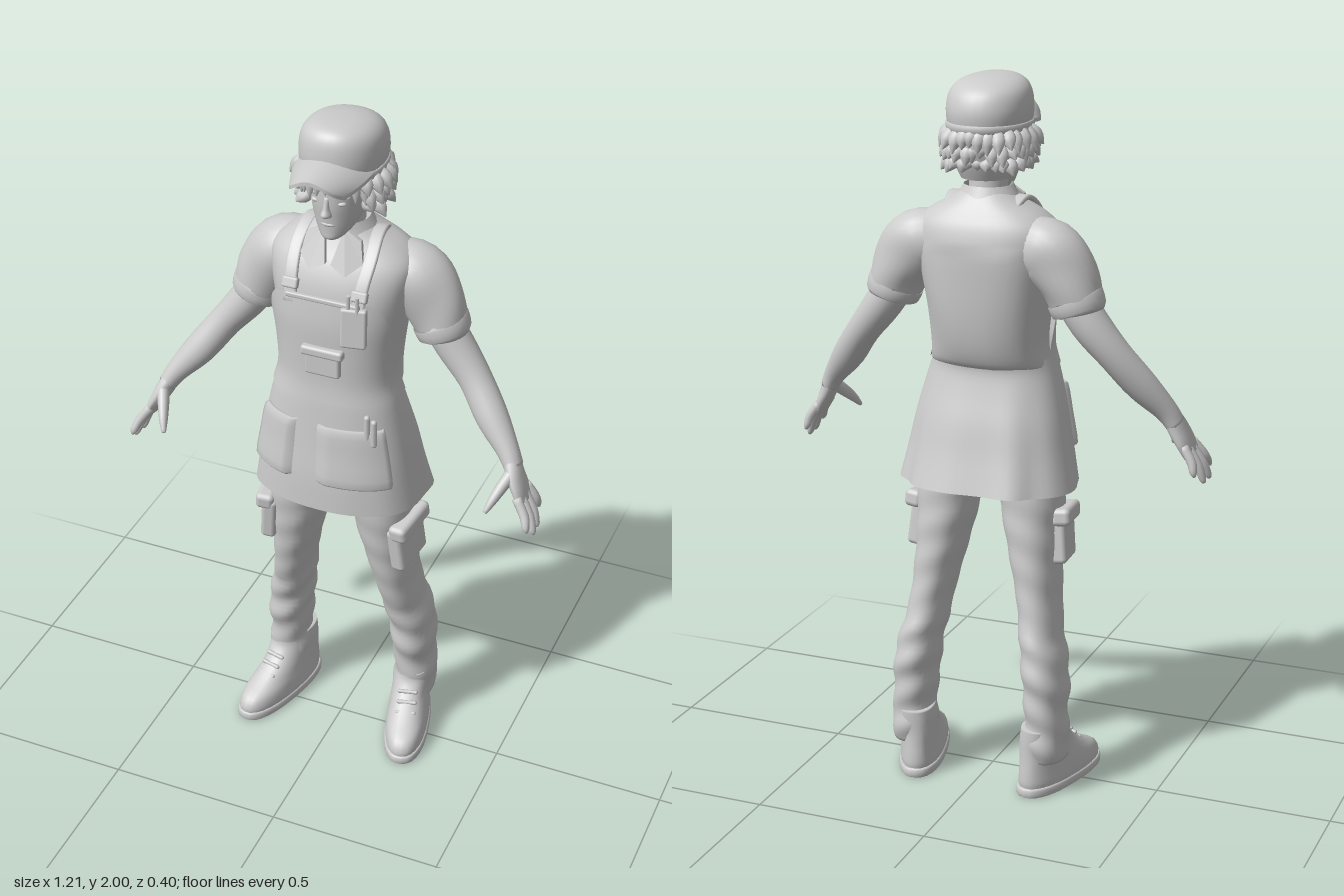
import * as THREE from 'three';
import { mergeVertices } from 'three/addons/utils/BufferGeometryUtils.js';
import { RoundedBoxGeometry } from 'three/addons/geometries/RoundedBoxGeometry.js';

const V = (x, y, z) => new THREE.Vector3(x, y, z);

// Smooth interpolation through rows of numbers
function sample(rows, t) {
  const i = Math.min(Math.floor(t), rows.length - 2), f = t - i;
  const at = k => rows[Math.max(0, Math.min(rows.length - 1, k))];
  return rows[i].map((_, k) => {
    const [a, b, c, d] = [at(i - 1)[k], at(i)[k], at(i + 1)[k], at(i + 2)[k]];
    return b + 0.5 * f * (c - a + f * (2 * a - 5 * b + 4 * c - d + f * (3 * (b - c) + d - a)));
  });
}

// Skin over rows [x, y, z, rx, rz]. Angle 0 faces +z, a quarter turn faces +x.
// along: rings square to the path; range: open strip between two angles per height.
function loft(rows, { seg = 24, sub = 4, e = 2, along = false, range = null, warp = null, cap = true } = {}) {
  const pos = [], idx = [], n = (rows.length - 1) * sub, w = range ? seg + 1 : seg;
  const rings = Array.from({ length: n + 1 }, (_, i) => sample(rows, i / sub));
  const pt = r => V(r[0], r[1], r[2]);
  const pow = v => Math.sign(v) * Math.abs(v) ** (2 / e);
  rings.forEach((r, i) => {
    let A = V(1, 0, 0), B = V(0, 0, 1);
    if (along) {
      const T = pt(rings[Math.min(n, i + 1)]).sub(pt(rings[Math.max(0, i - 1)])).normalize();
      A.addScaledVector(T, -T.x).normalize();
      B = A.clone().cross(T);
    }
    const [a0, a1] = range ? range(r[1]) : [0, Math.PI * 2];
    for (let j = 0; j < w; j++) {
      const a = a0 + (a1 - a0) * j / seg, k = 1 + (warp ? warp(a, r[1]) : 0);
      const p = pt(r).addScaledVector(A, r[3] * k * pow(Math.sin(a))).addScaledVector(B, r[4] * k * pow(Math.cos(a)));
      pos.push(p.x, p.y, p.z);
    }
  });
  for (let i = 0; i < n; i++) for (let j = 0; j < seg; j++) {
    const a = i * w + j, b = i * w + (j + 1) % w;
    idx.push(a, b, b + w, a, b + w, a + w);
  }
  if (cap && !range) [0, n].forEach(i => {
    const c = pos.length / 3;
    pos.push(...rings[i].slice(0, 3));
    for (let j = 0; j < seg; j++) {
      const a = i * w + j, b = i * w + (j + 1) % w;
      idx.push(c, ...(i ? [a, b] : [b, a]));
    }
  });
  const g = new THREE.BufferGeometry();
  g.setAttribute('position', new THREE.Float32BufferAttribute(pos, 3));
  g.setIndex(idx);
  g.computeVertexNormals();
  return g;
}

// Move every vertex by a rule
function bend(g, rule) {
  const p = g.attributes.position;
  for (let i = 0; i < p.count; i++) p.setXYZ(i, ...rule(p.getX(i), p.getY(i), p.getZ(i)));
  g.computeVertexNormals();
  return g;
}

function mirrored(geo) {
  const g = geo.index ? geo.clone() : mergeVertices(geo);
  const p = g.attributes.position, n = g.attributes.normal, ix = g.index.array;
  for (let i = 0; i < p.count; i++) { p.setX(i, -p.getX(i)); n.setX(i, -n.getX(i)); }
  for (let i = 0; i < ix.length; i += 3) [ix[i], ix[i + 1]] = [ix[i + 1], ix[i]];
  return g;
}

export function createModel() {
  const group = new THREE.Group();
  const grey = new THREE.MeshStandardMaterial({ color: 0xcccccc, side: THREE.DoubleSide });
  grey.name = 'light grey';
  const add = (name, geo) => {
    const m = new THREE.Mesh(geo, grey);
    m.name = name;
    group.add(m);
  };
  const both = (name, geo) => { add(name + 'Left', geo); add(name + 'Right', mirrored(geo)); };
  const box = (w, h, d, x, y, z, rx = 0, ry = 0, rz = 0) => new RoundedBoxGeometry(w, h, d, 2, Math.min(w, h, d) * 0.3)
    .rotateX(rx).rotateY(ry).rotateZ(rz).translate(x, y, z);
  let seed = 7;
  const rnd = () => (seed = (seed * 16807) % 2147483647) / 2147483647;

  // Shirt
  const blouse = (a, y) => y < 1.55 ? 0.018 * Math.sin(5 * a + 14 * y) * Math.max(0, -Math.cos(a) + 0.3) : 0;
  add('shirt', loft([[0, 0.98, 0, 0.17, 0.11], [0, 1.19, 0.005, 0.165, 0.1], [0, 1.225, -0.008, 0.163, 0.12], [0, 1.28, -0.018, 0.158, 0.132],
    [0, 1.36, -0.022, 0.166, 0.142], [0, 1.45, -0.024, 0.182, 0.146], [0, 1.54, -0.03, 0.198, 0.14], [0, 1.6, -0.036, 0.198, 0.122],
    [0, 1.64, -0.04, 0.16, 0.098], [0, 1.672, -0.04, 0.1, 0.078], [0, 1.695, -0.036, 0.066, 0.064]], { seg: 40, e: 2.5, warp: blouse }));
  both('sleeve', loft([[0.11, 1.555, -0.058, 0.07, 0.08], [0.185, 1.545, -0.062, 0.09, 0.088], [0.237, 1.48, -0.062, 0.085, 0.08],
    [0.27, 1.4, -0.06, 0.071, 0.072]], { along: true, sub: 5, warp: (a, y) => 0.025 * Math.sin(3 * a + 40 * y) }));
  both('sleeveCuff', loft([[0.258, 1.428, -0.06, 0.073, 0.073], [0.26, 1.424, -0.06, 0.078, 0.077], [0.272, 1.394, -0.06, 0.075, 0.075],
    [0.274, 1.388, -0.06, 0.066, 0.066]], { along: true, sub: 2 }));
  add('collarStand', loft([[0, 1.65, -0.036, 0.102, 0.092], [0, 1.68, -0.034, 0.084, 0.078], [0, 1.71, -0.03, 0.067, 0.068]],
    { range: () => [0.45, Math.PI * 2 - 0.45] }));
  const flap = new THREE.Shape([[0.028, 1.705], [0.008, 1.615], [0.05, 1.59], [0.088, 1.62], [0.075, 1.675]].map(p => new THREE.Vector2(...p)));
  both('collarFlap', bend(new THREE.ExtrudeGeometry(flap, { depth: 0.012, bevelEnabled: false }),
    (x, y, z) => [x, y, z + 0.04 + (1.7 - y) * 0.5 - 3 * x * x]));

  // Arms and hands
  both('arm', loft([[0.24, 1.45, -0.06, 0.054, 0.054], [0.3, 1.36, -0.06, 0.053, 0.055], [0.368, 1.275, -0.045, 0.046, 0.048],
    [0.432, 1.19, -0.01, 0.045, 0.044], [0.49, 1.12, 0.022, 0.032, 0.034], [0.515, 1.08, 0.036, 0.026, 0.034]], { along: true }));
  both('palm', loft([[0.505, 1.1, 0.03, 0.025, 0.03], [0.524, 1.06, 0.044, 0.023, 0.044], [0.542, 1.025, 0.052, 0.019, 0.05],
    [0.556, 0.995, 0.058, 0.014, 0.047]], { along: true, seg: 16 }));
  const fingers = [[0.095, 0.125, 0.94, 0.59], [0.07, 0.092, 0.915, 0.599], [0.043, 0.052, 0.913, 0.596], [0.018, 0.005, 0.943, 0.583]];
  fingers.forEach(([z0, z1, y1, x1], i) => both('finger' + (i + 1), loft([[0.546, 1.02, z0, 0.013, 0.013],
    [(0.55 + x1) / 2 + 0.005, (1.02 + y1) / 2, (z0 + z1) / 2, 0.013, 0.013], [x1 - 0.004, y1 + 0.012, z1, 0.01, 0.01],
    [x1, y1, z1, 0.004, 0.004]], { along: true, seg: 10, sub: 3 })));
  both('thumb', loft([[0.52, 1.075, 0.058, 0.018, 0.02], [0.503, 1.045, 0.095, 0.016, 0.018], [0.488, 1.015, 0.128, 0.012, 0.013],
    [0.477, 0.99, 0.15, 0.006, 0.006]], { along: true, seg: 10, sub: 3 }));

  // Apron skirt with folds, and its pockets
  const folds = (a, y) => Math.max(0, 1.2 - y) * (0.09 * Math.cos(7 * a) + 0.05 * Math.sin(11 * a)) * (1.2 - Math.cos(a)) * 0.5;
  const skirt = (d, y0 = 0, y1 = 9) => [[0, 0.872, -0.016, 0.248, 0.182], [0, 0.97, -0.003, 0.23, 0.166], [0, 1.06, 0.004, 0.214, 0.15],
    [0, 1.14, 0.013, 0.196, 0.134], [0, 1.2, 0.018, 0.18, 0.124], [0, 1.235, 0.014, 0.168, 0.124]]
    .filter(r => r[1] > y0 && r[1] < y1).map(r => [r[0], r[1], r[2], r[3] + d, r[4] + d]);
  add('apronSkirt', bend(loft(skirt(0), { seg: 64, e: 2.4, warp: folds, cap: false }),
    (x, y, z) => [x, y + Math.max(0, -z) * 0.1 * (1.2 - y), z]));
  const pocket = (name, a0, a1) => {
    const rows = skirt(0.014, 0.95, 1.15), base = skirt(-0.004, 0.95, 1.15);
    rows.unshift(base[0]);
    rows.push(base[base.length - 1]);
    add(name, loft(rows, { seg: 14, e: 2.4, sub: 3, range: () => [a0, a1],
      warp: a => -0.07 * (Math.abs((2 * a - a0 - a1) / (a1 - a0)) > 0.95 ? 1 : 0) }));
  };
  pocket('apronPocketLeft', -0.02, 0.98);
  pocket('apronPocketRight', -1.08, -0.3);
  [[0.13, 1.155], [0.15, 1.145]].forEach(([x, y], i) =>
    add('pocketTool' + (i + 1), new THREE.CapsuleGeometry(0.009, 0.07, 4, 8).translate(x, y, 0.133)));

  // Bib, straps and chest pockets
  const edge = y => 0.5 + 1.25 * Math.max(0, (1.53 - y) / 0.33) ** 0.6;
  add('apronBib', loft([[0, 1.21, 0.012, 0.182, 0.13], [0, 1.27, 0.002, 0.17, 0.134], [0, 1.36, -0.012, 0.178, 0.15],
    [0, 1.45, -0.02, 0.194, 0.16], [0, 1.53, -0.022, 0.21, 0.154]], { seg: 28, e: 2.5, range: y => [-edge(y), edge(y)] }));
  add('bibHem', box(0.21, 0.014, 0.014, 0, 1.525, 0.128));
  both('strap', loft([[0.095, 1.5, 0.122, 0.018, 0.007], [0.1, 1.57, 0.1, 0.018, 0.007], [0.105, 1.63, 0.056, 0.018, 0.007],
    [0.1, 1.672, 0, 0.018, 0.007], [0.095, 1.675, -0.05, 0.018, 0.007], [0.085, 1.64, -0.115, 0.016, 0.005]], { along: true, seg: 12, e: 4 }));
  both('strapBuckle', box(0.045, 0.03, 0.02, 0.098, 1.55, 0.112, -0.4));
  add('penPocket', box(0.07, 0.115, 0.024, 0.09, 1.465, 0.132, -0.06, 0.2));
  [0.075, 0.1].forEach((x, i) => add('pen' + (i + 1), new THREE.CylinderGeometry(0.006, 0.006, 0.09, 8).translate(x, 1.515, 0.134)));
  add('bibPouch', box(0.1, 0.075, 0.026, 0.005, 1.34, 0.137));
  add('bibPouchFlap', box(0.12, 0.028, 0.03, 0.005, 1.375, 0.14));

  // Trousers
  const wrinkles = (a, y) => (y < 0.46 ? 0.05 : 0.018) * Math.sin(62 * y + 2.2 * Math.sin(a + 0.6));
  both('trouserLeg', loft([[0.2, 0.1, -0.09, 0.055, 0.08], [0.202, 0.16, -0.095, 0.061, 0.083], [0.2, 0.22, -0.095, 0.056, 0.08],
    [0.197, 0.3, -0.088, 0.06, 0.09], [0.19, 0.38, -0.085, 0.06, 0.092], [0.172, 0.47, -0.065, 0.056, 0.094], [0.16, 0.55, -0.045, 0.057, 0.095],
    [0.145, 0.65, -0.03, 0.066, 0.1], [0.132, 0.75, -0.018, 0.078, 0.104], [0.12, 0.86, -0.008, 0.09, 0.105], [0.1, 1, 0, 0.1, 0.105]],
    { seg: 28, sub: 5, e: 2.2, warp: wrinkles }));
  both('cargoPocket', box(0.045, 0.14, 0.14, 0.204, 0.725, 0.012, 0.1, -0.15, 0.08));
  both('cargoPocketFlap', box(0.054, 0.05, 0.155, 0.212, 0.79, 0.015, 0.1, -0.15, 0.08));

  // Boots, turned outwards
  const foot = g => g.rotateY(0.25).translate(0.19, 0, -0.092);
  both('boot', foot(loft([[0, 0.01, 0.08, 0.058, 0.165], [0, 0.035, 0.08, 0.062, 0.172], [0, 0.065, 0.072, 0.06, 0.163], [0, 0.095, 0.045, 0.056, 0.133],
    [0, 0.13, 0.018, 0.053, 0.104], [0.005, 0.17, 0, 0.055, 0.086], [0.008, 0.2, -0.002, 0.053, 0.083]], { seg: 28, e: 2.3 })));
  both('bootSole', foot(loft([[0, 0, 0.08, 0.06, 0.172], [0, 0.004, 0.08, 0.065, 0.178], [0, 0.022, 0.08, 0.065, 0.178],
    [0, 0.027, 0.08, 0.06, 0.172]], { seg: 28, e: 2.4, sub: 2 })));
  for (let i = 0; i < 3; i++)
    both('bootLace' + (i + 1), foot(new THREE.CapsuleGeometry(0.006, 0.05, 3, 8).rotateZ(Math.PI / 2).translate(0, 0.105 + i * 0.022, 0.145 - i * 0.022)));

  // Head and face
  add('neck', loft([[0, 1.62, -0.04, 0.06, 0.062], [0, 1.69, -0.034, 0.052, 0.056], [0, 1.76, -0.025, 0.055, 0.06]]));
  add('head', loft([[0, 1.682, 0.06, 0.014, 0.018], [0, 1.69, 0.05, 0.03, 0.041], [0, 1.71, 0.026, 0.048, 0.067], [0, 1.745, 0, 0.066, 0.096],
    [0, 1.79, -0.014, 0.077, 0.115], [0, 1.85, -0.02, 0.083, 0.12], [0, 1.92, -0.02, 0.08, 0.11]], { e: 2.1 }));
  add('nose', loft([[0, 1.757, 0.092, 0.012, 0.008], [0, 1.766, 0.1, 0.015, 0.02], [0, 1.785, 0.099, 0.009, 0.013], [0, 1.815, 0.097, 0.007, 0.006]], { seg: 12 }));
  add('mouth', new THREE.SphereGeometry(1, 14, 8).scale(0.022, 0.007, 0.01).translate(0, 1.733, 0.087));
  both('brow', new THREE.CapsuleGeometry(0.006, 0.035, 3, 8).rotateZ(1.45).rotateY(0.35).translate(0.036, 1.818, 0.086));
  both('eye', new THREE.SphereGeometry(1, 12, 8).scale(0.015, 0.007, 0.01).translate(0.034, 1.797, 0.084));

  // Hair: a shell under the cap plus pointed locks
  add('hairShell', loft([[0, 1.73, -0.055, 0.065, 0.062], [0, 1.77, -0.04, 0.088, 0.095], [0, 1.82, -0.028, 0.1, 0.12], [0, 1.88, -0.02, 0.1, 0.12]],
    { range: () => [1.15, Math.PI * 2 - 1.15] }));
  const lock = (name, a, y0, y1, spread, size, r0 = 1) => {
    const p = (k, y, w) => [Math.sin(a) * 0.098 * k, y, Math.cos(a) * 0.116 * k - 0.022, w, w * 0.8];
    add(name, loft([p(r0 * 0.95, y0, size * 0.8), p(r0 * (1 + spread * 0.55), y0 * 0.55 + y1 * 0.45, size),
      p(r0 * (1 + spread), y1, 0.002)], { along: true, seg: 7, sub: 3 }));
  };
  for (let ring = 0; ring < 3; ring++) for (let i = 0; i < 19; i++) {
    const a = 0.95 + (i + 0.3 * ring + rnd() * 0.5) / 19 * (Math.PI * 2 - 1.9), side = Math.abs(Math.sin(a));
    lock('hairLock', a, 1.865 - ring * 0.04, 1.8 - ring * 0.03 + rnd() * 0.025, (0.1 + 0.3 * side) * (0.7 + 0.5 * rnd()), 0.02, 1 - ring * 0.05);
  }
  for (let i = 0; i < 9; i++) lock('fringeLock', -0.95 + i * 0.2375, 1.88, 1.815 + rnd() * 0.02 - 0.03 * Math.abs(i - 4) / 4, 0.12, 0.016);

  // Cap with an arched brim
  add('capCrown', loft([[0, 1.858, -0.02, 0.1, 0.122], [0, 1.865, -0.02, 0.107, 0.128], [0, 1.91, -0.02, 0.113, 0.132], [0, 1.955, -0.014, 0.106, 0.122],
    [0, 1.982, -0.002, 0.085, 0.098], [0, 1.996, 0.014, 0.05, 0.06], [0, 2, 0.022, 0.012, 0.014]], { seg: 32, e: 2.15 }));
  add('capBand', loft([[0, 1.856, -0.02, 0.104, 0.126], [0, 1.859, -0.02, 0.112, 0.132], [0, 1.877, -0.02, 0.114, 0.134], [0, 1.88, -0.02, 0.106, 0.126]], { seg: 32, sub: 2, e: 2.15 }));
  add('capBrim', bend(new THREE.BoxGeometry(2, 0.01, 1, 16, 1, 8), (u, h, w) => {
    const v = w + 0.5, root = 0.085 - 0.07 * u * u, tip = 0.206 - 0.045 * u ** 4;
    return [u * (0.105 - 0.03 * v * v), 1.922 + h - 0.046 * u * u - 0.016 * v, root + (tip - root) * v];
  }));
  return group;
}
